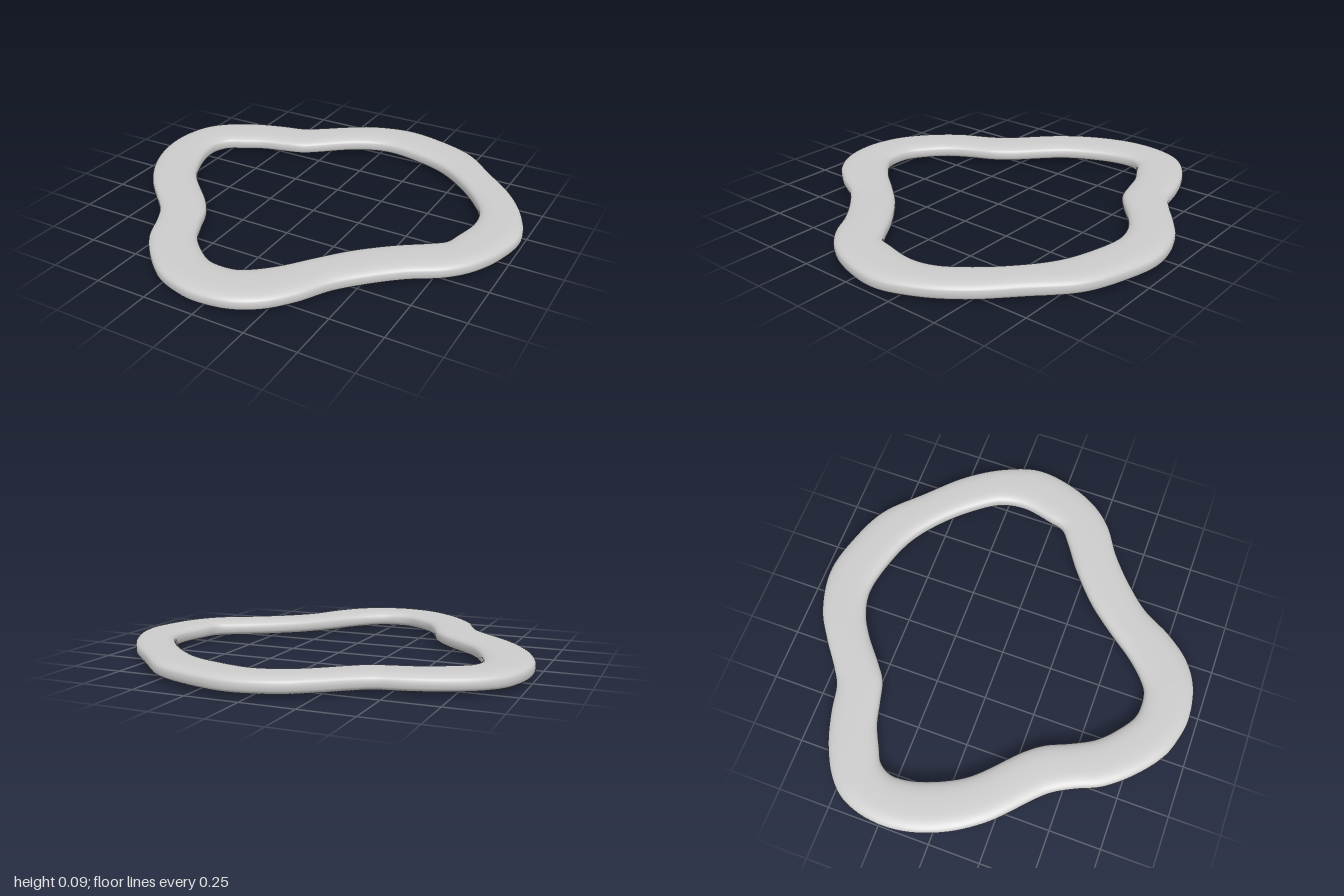
import * as THREE from 'three';

// Matching points around the ring: [outer x, outer z, inner x, inner z]
const OUTLINE = [
  [0.09, -0.96, 0.06, -0.73], [0.30, -0.92, 0.24, -0.70], [0.49, -0.84, 0.40, -0.64],
  [0.66, -0.68, 0.55, -0.53], [0.83, -0.51, 0.68, -0.39], [0.94, -0.34, 0.75, -0.28],
  [1.00, -0.16, 0.77, -0.16], [0.97, 0.03, 0.74, -0.01], [0.90, 0.18, 0.72, 0.06],
  [0.81, 0.28, 0.66, 0.11], [0.67, 0.37, 0.53, 0.20], [0.54, 0.48, 0.38, 0.33],
  [0.43, 0.60, 0.27, 0.46], [0.35, 0.74, 0.17, 0.59], [0.25, 0.86, 0.09, 0.67],
  [0.13, 0.93, 0.03, 0.71], [-0.03, 0.955, -0.04, 0.72], [-0.13, 0.94, -0.11, 0.71],
  [-0.24, 0.90, -0.20, 0.65], [-0.37, 0.80, -0.28, 0.57], [-0.48, 0.67, -0.34, 0.46],
  [-0.54, 0.54, -0.39, 0.35], [-0.60, 0.44, -0.45, 0.27], [-0.82, 0.22, -0.65, 0.07],
  [-0.93, 0.05, -0.73, -0.08], [-0.99, -0.13, -0.765, -0.20], [-0.995, -0.29, -0.765, -0.28],
  [-0.95, -0.44, -0.73, -0.34], [-0.87, -0.53, -0.66, -0.38], [-0.73, -0.61, -0.56, -0.43],
  [-0.58, -0.66, -0.45, -0.46], [-0.45, -0.69, -0.35, -0.49], [-0.37, -0.74, -0.28, -0.54],
  [-0.25, -0.83, -0.16, -0.64], [-0.12, -0.91, -0.06, -0.70],
];

const RINGS = 280, SIDES = 32;
const MID_Y = 0.049, HALF_HEIGHT = 0.041, ROUNDNESS = 3;

const closedCurve = (k) => new THREE.CatmullRomCurve3(
  OUTLINE.map((p) => new THREE.Vector3(p[k], 0, p[k + 1])), true, 'centripetal');

// Rounded-rectangle section coordinate
const soften = (v) => Math.sign(v) * Math.abs(v) ** (2 / ROUNDNESS);

function ringGeometry() {
  const outer = closedCurve(0), inner = closedCurve(2);
  const positions = [], index = [];
  for (let i = 0; i < RINGS; i++) {
    const o = outer.getPoint(i / RINGS), n = inner.getPoint(i / RINGS);
    const mid = o.clone().add(n).multiplyScalar(0.5);
    const half = o.clone().sub(n).multiplyScalar(0.5);
    // The front arm sags very slightly to the ground
    const sag = 0.008 * Math.exp(-((mid.x - 0.3) ** 2 + (mid.z - 0.5) ** 2) / 0.15);
    for (let j = 0; j < SIDES; j++) {
      const a = (j / SIDES) * Math.PI * 2;
      const s = soften(Math.cos(a));
      positions.push(
        mid.x + half.x * s,
        MID_Y - sag + HALF_HEIGHT * soften(Math.sin(a)),
        mid.z + half.z * s);
      const i2 = (i + 1) % RINGS, j2 = (j + 1) % SIDES;
      const p = i * SIDES + j, q = i * SIDES + j2, r = i2 * SIDES + j, t = i2 * SIDES + j2;
      index.push(p, q, r, q, t, r);
    }
  }
  const g = new THREE.BufferGeometry();
  g.setAttribute('position', new THREE.Float32BufferAttribute(positions, 3));
  g.setIndex(index);
  g.computeVertexNormals();
  return g;
}

export function createModel() {
  const group = new THREE.Group();
  group.name = 'wavyRing';
  const band = new THREE.Mesh(ringGeometry(), new THREE.MeshStandardMaterial({ color: 0xcccccc }));
  band.name = 'ringBand';
  group.add(band);
  return group;
}
